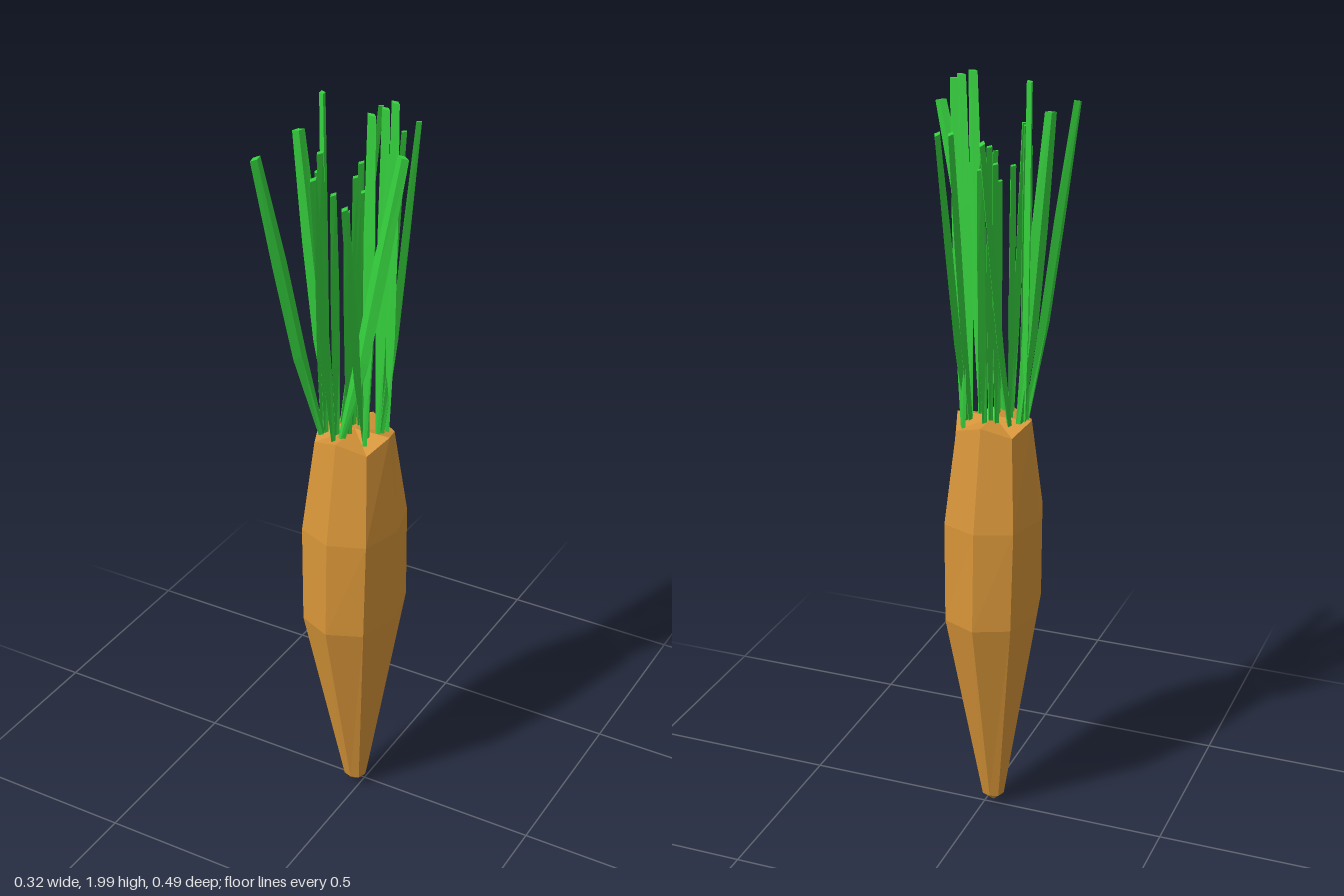
import * as THREE from 'three';

// Skin a list of rings (arrays of [x,y,z], bottom to top) and close both ends with fans
function loft(rings, topCenter, bottomCenter) {
  const n = rings[0].length;
  const pos = [bottomCenter, ...rings.flat(), topCenter].flat();
  const last = rings.length * n + 1;
  const index = [];
  for (let i = 0; i < n; i++) {
    const j = (i + 1) % n;
    index.push(0, 1 + i, 1 + j);
    for (let r = 0; r < rings.length - 1; r++) {
      const a = 1 + r * n + i, b = 1 + r * n + j;
      index.push(a, a + n, b, b, a + n, b + n);
    }
    index.push(last, last - n + j, last - n + i);
  }
  const geo = new THREE.BufferGeometry();
  geo.setAttribute('position', new THREE.Float32BufferAttribute(pos, 3));
  geo.setIndex(index);
  const flat = geo.toNonIndexed();
  flat.computeVertexNormals();
  return flat;
}

// Eight-sided root: [y, half width x, half depth z, drop of diagonal corners]
function rootGeometry() {
  const cx = -0.02, cz = 0.015;
  const sections = [
    [0.035, 0.03, 0.03, 0],
    [0.6, 0.12, 0.157, 0],
    [0.87, 0.125, 0.147, 0],
    [1.14, 0.1, 0.097, 0.025],
  ];
  const rings = sections.map(([y, rx, rz, drop]) =>
    Array.from({ length: 8 }, (_, i) => {
      const a = (i * Math.PI) / 4, k = i % 2 ? 1.06 : 1;
      return [cx + Math.cos(a) * rx * k, y - (i % 2) * drop, cz + Math.sin(a) * rz * k];
    }));
  return loft(rings, [cx, 1.14, cz], [cx, 0.008, cz]);
}

// Slightly bent blade with a diamond section, its broad side along (dx, dz)
function leafGeometry(x0, z0, x1, z1, top, dx, dz) {
  const steps = [[0, 0, 0.008], [0.33, 0.38, 0.02], [0.65, 0.67, 0.021], [1, 1, 0.015]];
  const thin = 0.009;
  const centers = [];
  const lean = (x1 - x0) * dx + (z1 - z0) * dz;
  const rings = steps.map(([t, bend, w]) => {
    const x = x0 + (x1 - x0) * bend, z = z0 + (z1 - z0) * bend;
    const y = 1.1 + (top - 1.1) * t;
    const tilt = (lean / (top - 1.1)) * w;
    const k = thin * (0.5 + w * 22);
    centers.push([x, y, z]);
    return [
      [x + dx * w, y - tilt, z + dz * w],
      [x - dz * k, y, z + dx * k],
      [x - dx * w, y + tilt, z - dz * w],
      [x + dz * k, y, z - dx * k],
    ];
  });
  return loft(rings, centers[3], centers[0]);
}

export function createModel() {
  const group = new THREE.Group();
  const orange = new THREE.MeshStandardMaterial({ color: 0xd69438, flatShading: true });
  const green = new THREE.MeshStandardMaterial({ color: 0x35d23e, flatShading: true });

  const root = new THREE.Mesh(rootGeometry(), orange);
  root.name = 'root';
  group.add(root);

  // Leaves: base x, base z, tip x, tip z, tip height
  const leaves = [
    // long leaves leaning outwards
    [-0.07, 0.0, -0.082, -0.23, 1.9],
    [0.045, 0.0, 0.048, -0.18, 1.9],
    [0.037, 0.0, 0.035, -0.13, 1.89],
    [0.025, 0.04, 0.024, 0.137, 1.79],
    [-0.042, 0.08, -0.042, 0.165, 1.86],
    [-0.09, 0.05, -0.157, 0.227, 1.91],
    [-0.035, 0.07, 0.145, 0.08, 1.92],
    [-0.09, 0.0, -0.15, 0.047, 1.92],
    // tall upright leaves
    [0.042, -0.04, 0.065, -0.03, 2.0],
    [0.04, 0.005, 0.065, 0.016, 2.0],
    [0.03, 0.055, 0.055, 0.065, 2.0],
    [-0.1, 0.015, -0.115, -0.005, 2.0],
    [0.024, 0.03, 0.024, 0.045, 1.8],
    // short inner leaves
    [-0.036, -0.01, -0.036, -0.022, 1.8],
    [-0.02, -0.01, -0.02, -0.02, 1.84],
    [-0.012, -0.03, -0.008, -0.048, 1.79],
    [-0.053, 0.045, -0.053, 0.055, 1.78],
    [-0.02, 0.04, -0.02, 0.05, 1.74],
    [-0.085, 0.045, -0.085, 0.06, 1.88],
    [-0.095, 0.045, -0.095, 0.055, 1.83],
  ];
  const tuft = new THREE.Group();
  tuft.name = 'leaves';
  for (const [x0, z0, x1, z1, top] of leaves) {
    const d = Math.hypot(x1 - x0, z1 - z0);
    const leaf = new THREE.Mesh(
      leafGeometry(x0, z0, x1, z1, top, (x1 - x0) / d, (z1 - z0) / d), green);
    leaf.name = 'leaf';
    tuft.add(leaf);
  }
  group.add(tuft);
  return group;
}
